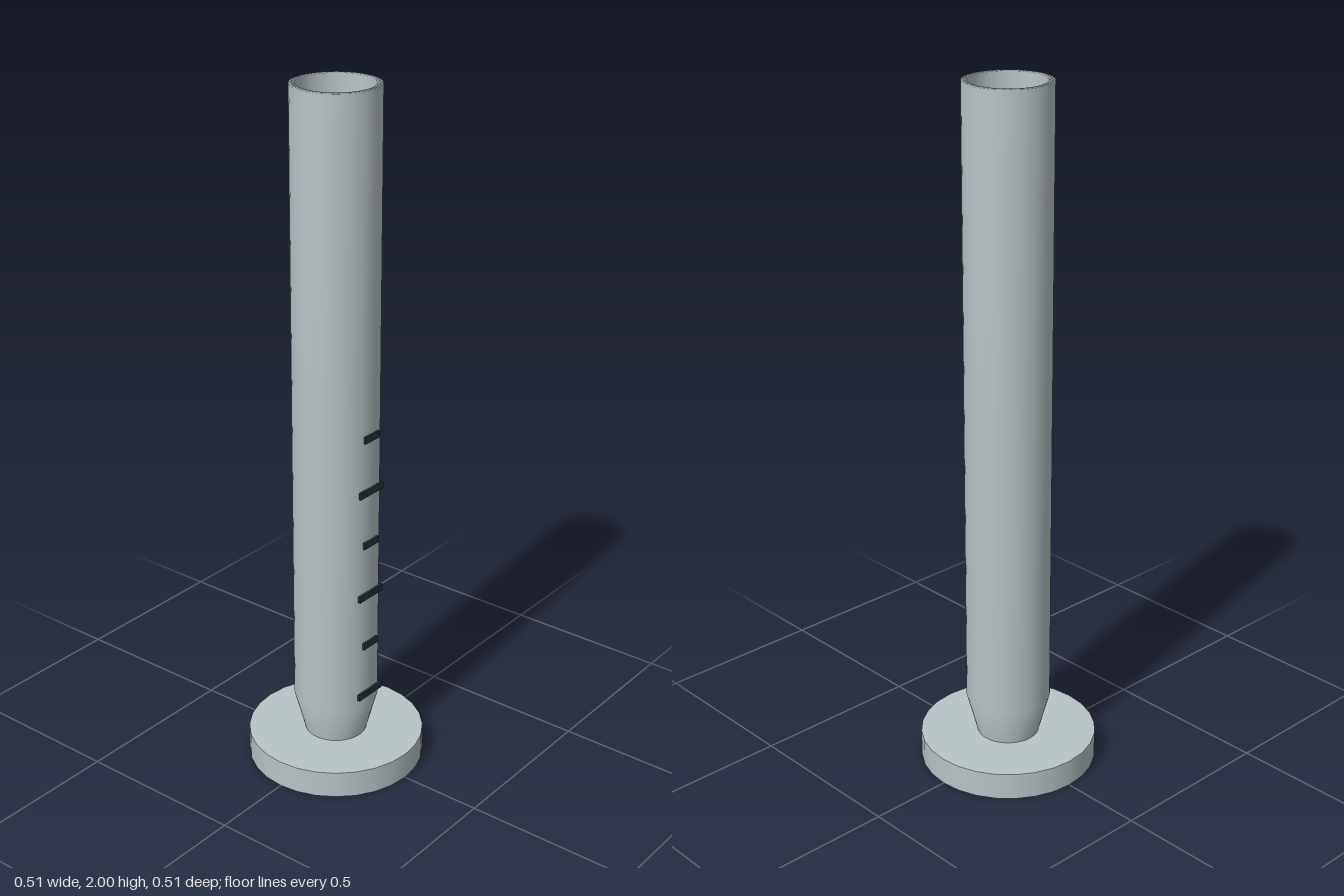
import * as THREE from 'three';

export function createModel() {
  const model = new THREE.Group();
  model.name = 'measuringCylinder';

  const glass = new THREE.MeshStandardMaterial({ color: 0xb8c4c7 });
  glass.name = 'pale grey glass';
  const ink = new THREE.MeshStandardMaterial({ color: 0x263238 });
  ink.name = 'dark scale ink';

  function add(name, geometry, material, x = 0, y = 0, z = 0) {
    const mesh = new THREE.Mesh(geometry, material);
    mesh.name = name;
    mesh.position.set(x, y, z);
    model.add(mesh);
  }

  // Round foot
  add('foot', new THREE.CylinderGeometry(0.256, 0.256, 0.08, 28), glass, 0, 0.04, 0);

  // Hollow tube: tapered neck, straight wall, open rim, inner wall and floor
  const profile = [
    [0.07, 0.005], [0.122, 0.2], [0.122, 2], [0.105, 2],
    [0.105, 0.21], [0.088, 0.12], [0, 0.12],
  ].map(([r, y]) => new THREE.Vector2(r, y));
  add('tube', new THREE.LatheGeometry(profile, 48), glass);

  // Graduation marks, alternating long and short
  for (let i = 0; i < 6; i++) {
    const width = i % 2 === 0 ? 0.103 : 0.062;
    add(`scaleMark${i + 1}`, new THREE.BoxGeometry(width, 0.02, 0.007), ink,
      0, 0.242 + i * 0.161, 0.124);
  }

  return model;
}
